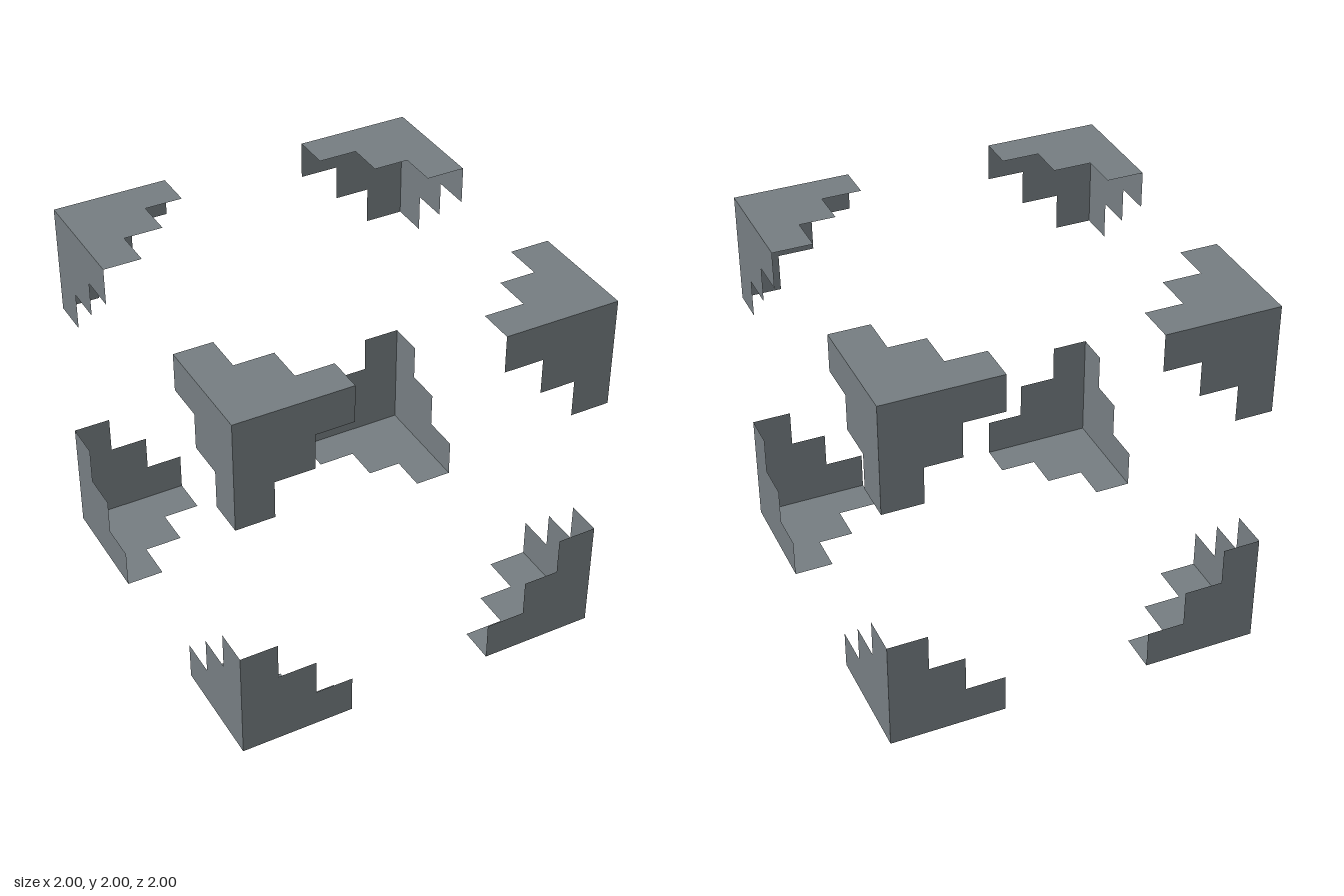
import * as THREE from 'three';

// Step distances measured inward from each outer face: [negative end, positive end] per axis
const STEPS = [
  [[0.2, 0.405, 0.605], [0.21, 0.4, 0.61]], // x
  [[0.21, 0.41, 0.615], [0.2, 0.39, 0.59]], // y
  [[0.205, 0.41, 0.62], [0.19, 0.39, 0.595]], // z
];
const NAMES = ['side', 'horizontal', 'frontOrBack'];

// Thin stair-edged sheet lying on the cube face across the given axis
function stairSheet(axis, signs) {
  const u = (axis + 1) % 3, v = (axis + 2) % 3;
  const a = STEPS[u][signs[u] > 0 ? 1 : 0];
  const b = STEPS[v][signs[v] > 0 ? 1 : 0];
  const outline = [
    [0, 0], [a[2], 0], [a[2], b[0]], [a[1], b[0]],
    [a[1], b[1]], [a[0], b[1]], [a[0], b[2]], [0, b[2]],
  ].map(([p, q]) => new THREE.Vector2(signs[u] * (1 - p), signs[v] * (1 - q)));

  const geometry = new THREE.ShapeGeometry(new THREE.Shape(outline));
  const pos = geometry.attributes.position;
  for (let i = 0; i < pos.count; i++) {
    const p = [0, 0, 0];
    p[u] = pos.getX(i);
    p[v] = pos.getY(i);
    p[axis] = signs[axis];
    pos.setXYZ(i, p[0], p[1] + 1, p[2]);
  }
  // Keep the front of every sheet facing outward
  if (signs[axis] < 0) geometry.index.array.reverse();
  geometry.computeVertexNormals();
  return geometry;
}

export function createModel() {
  const model = new THREE.Group();
  model.name = 'cubeCornerBrackets';
  // Dark slate grey
  const material = new THREE.MeshStandardMaterial({
    color: 0x757d81, flatShading: true, side: THREE.DoubleSide,
  });

  // One bracket of three sheets at each of the eight cube corners
  for (const x of [-1, 1]) for (const y of [-1, 1]) for (const z of [-1, 1]) {
    const corner = new THREE.Group();
    corner.name = `${y > 0 ? 'top' : 'bottom'}${z > 0 ? 'Front' : 'Back'}${x > 0 ? 'Left' : 'Right'}Corner`;
    for (let axis = 0; axis < 3; axis++) {
      const sheet = new THREE.Mesh(stairSheet(axis, [x, y, z]), material);
      sheet.name = `${NAMES[axis]}Sheet`;
      corner.add(sheet);
    }
    model.add(corner);
  }
  return model;
}
